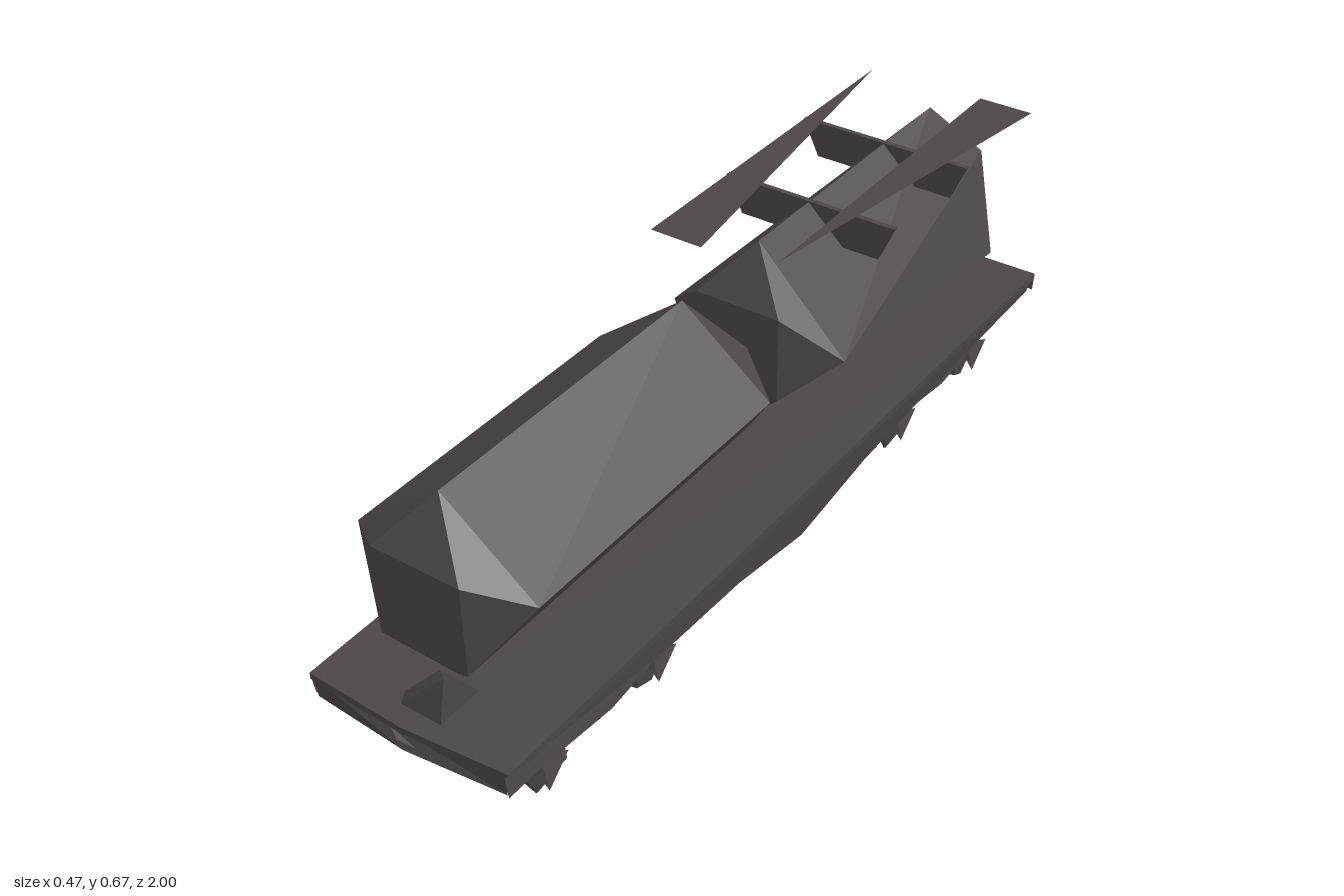
import * as THREE from 'three';
import { ConvexGeometry } from 'three/addons/geometries/ConvexGeometry.js';

export function createModel() {
  const group = new THREE.Group();
  const steel = new THREE.MeshStandardMaterial({ color: 0x4c4746, side: THREE.DoubleSide, flatShading: true });
  steel.name = 'dark steel';

  const add = (name, geometry, parent = group) => {
    const mesh = new THREE.Mesh(geometry, steel);
    mesh.name = name;
    parent.add(mesh);
    return mesh;
  };
  const hull = (name, points, parent) =>
    add(name, new ConvexGeometry(points.map(p => new THREE.Vector3(...p))), parent);
  // Flat polygon through 3D corners, as a triangle fan
  const sheet = (name, points, parent) => {
    const pos = [];
    for (let i = 1; i < points.length - 1; i++) pos.push(...points[0], ...points[i], ...points[i + 1]);
    const g = new THREE.BufferGeometry();
    g.setAttribute('position', new THREE.Float32BufferAttribute(pos, 3));
    g.computeVertexNormals();
    return add(name, g, parent);
  };

  // Tanks: diamond sections with smaller square end faces
  const tank = (name, zFront, zBack, sidesFront, sidesBack) => {
    const points = [];
    for (const [z, dir, sides] of [[zFront, 1, sidesFront], [zBack, -1, sidesBack]]) {
      points.push([0, 0.67, z], [0, 0.245, z], ...sides.map(([x, y]) => [x, y, z]));
      for (const x of [-0.1, 0.1]) for (const y of [0.355, 0.555]) points.push([x, y, z + dir * 0.078]);
    }
    hull(name, points);
  };
  const even = [[-0.206, 0.51], [0.206, 0.51]];
  tank('frontTank', 0.84, 0.13, even, even);
  tank('backTank', -0.14, -0.85, [[-0.213, 0.455], [0.213, 0.455]], [[-0.207, 0.4], [0.185, 0.348]]);

  // Wedge saddles under the outer tank ends
  for (const s of [1, -1]) {
    hull(s > 0 ? 'frontSaddle' : 'backSaddle', [
      [-0.047, 0.23, s * 0.84], [0.047, 0.23, s * 0.84], [-0.047, 0.23, s * 0.945], [0.047, 0.23, s * 0.945],
      [0.047 * s, 0.325, s * 0.925], [-0.047 * s, 0.25, s * 0.93]]);
  }

  // Walkways and their cross brackets on the back tank
  sheet('rightWalkway', [[-0.205, 0.672, -0.94], [-0.205, 0.672, -0.05], [-0.08, 0.672, -0.05]]);
  sheet('leftWalkway', [[0.075, 0.672, -0.95], [0.08, 0.672, -0.09], [0.205, 0.672, -0.95]]);
  for (const z of [-0.335, -0.645]) {
    hull('walkwayBracket', [
      [-0.207, 0.672, z - 0.006], [0.207, 0.672, z - 0.006], [-0.207, 0.672, z + 0.006],
      [0.207, 0.672, z + 0.006], [-0.17, 0.585, z], [0.17, 0.585, z]]);
  }

  // Deck plate, slightly narrowed at the front left corner
  const outline = [[-0.238, -1], [0.236, -1], [0.222, 0.97], [-0.01, 0.99], [-0.238, 0.98]];
  hull('deck', outline.flatMap(([x, z]) => [[x, 0.23, z], [x, 0.215, z]]));
  sheet('frontBeam', [[-0.238, 0.23, 0.98], [-0.228, 0.172, 0.975], [-0.01, 0.17, 0.988], [0.215, 0.176, 0.97], [0.222, 0.23, 0.97]]);
  sheet('backBeam', [[0.236, 0.23, -1], [0.236, 0.188, -0.995], [-0.238, 0.188, -0.995], [-0.238, 0.23, -1]]);
  hull('coupler', [[-0.036, 0.218, 0.988], [0.022, 0.19, 0.986], [-0.01, 0.208, 1], [-0.01, 0.197, 0.99]]);

  // Fish-bellied side sills
  const sill = [[1, 0.185], [0.5, 0.155], [0.25, 0.135], [0, 0.09], [-0.25, 0.135], [-0.5, 0.158], [-1, 0.188]];
  for (const s of [1, -1]) {
    for (let i = 0; i < sill.length - 1; i++) {
      const top = z => [s > 0 ? 0.229 - 0.007 * z : -0.238, 0.23, z * 0.98];
      const low = ([z, y]) => [s * (0.208 + 0.02 * Math.abs(z)), y, z * 0.98];
      const [a, b] = [sill[i], sill[i + 1]];
      sheet(s > 0 ? 'leftSill' : 'rightSill', [top(a[0]), low(a), low(b), top(b[0])]);
    }
  }

  // Trucks: jagged wheels, thin axles, side frames and a bolster
  const wheelProfile = [[0.075, 0.12], [0.01, 0.003], [-0.06, 0.045], [-0.05, 0.125], [0, 0.16]];
  for (const s of [1, -1]) {
    const truck = new THREE.Group();
    truck.name = s > 0 ? 'frontTruck' : 'backTruck';
    truck.position.z = s * 0.64;
    group.add(truck);
    for (const dz of [0.17, -0.17]) {
      for (const side of [1, -1]) {
        hull('wheel', wheelProfile.flatMap(([z, y], i) => [
          [side * 0.145, y, dz + z * Math.sign(dz)],
          [side * (i === 1 ? 0.15 : 0.167), y + 0.004, dz + z * Math.sign(dz)]]), truck);
      }
      hull('axle', [[-0.145, 0.1, dz], [-0.145, 0.076, dz - 0.012], [-0.145, 0.076, dz + 0.012], [0.145, 0.074, dz]], truck);
    }
    for (const side of [1, -1]) {
      hull('sideFrame', [0.172, 0.19].flatMap(x => [
        [side * x, 0.145, -0.27], [side * x, 0.145, 0.27], [side * x, 0.125, -0.22],
        [side * x, 0.125, 0.22], [side * x, 0.098, 0]]), truck);
      for (const dz of [0.17, -0.17]) {
        hull('journalBox', [
          [side * 0.17, 0.06, dz - 0.03], [side * 0.198, 0.06, dz + 0.03], [side * 0.198, 0.115, dz - 0.03],
          [side * 0.18, 0.135, dz + 0.03], [side * 0.17, 0.11, dz + 0.04]], truck);
      }
    }
    hull('bolster', [
      [-0.18, 0.142, -0.03], [-0.18, 0.142, 0.03], [0.18, 0.138, -0.03], [0.18, 0.138, 0.03],
      [-0.18, 0.115, 0], [0.18, 0.115, 0]], truck);
    hull('centrePivot', [[-0.14, 0.22, 0], [-0.09, 0.22, 0.04], [-0.09, 0.22, -0.04], [-0.12, 0.14, 0]], truck);
  }
  return group;
}
